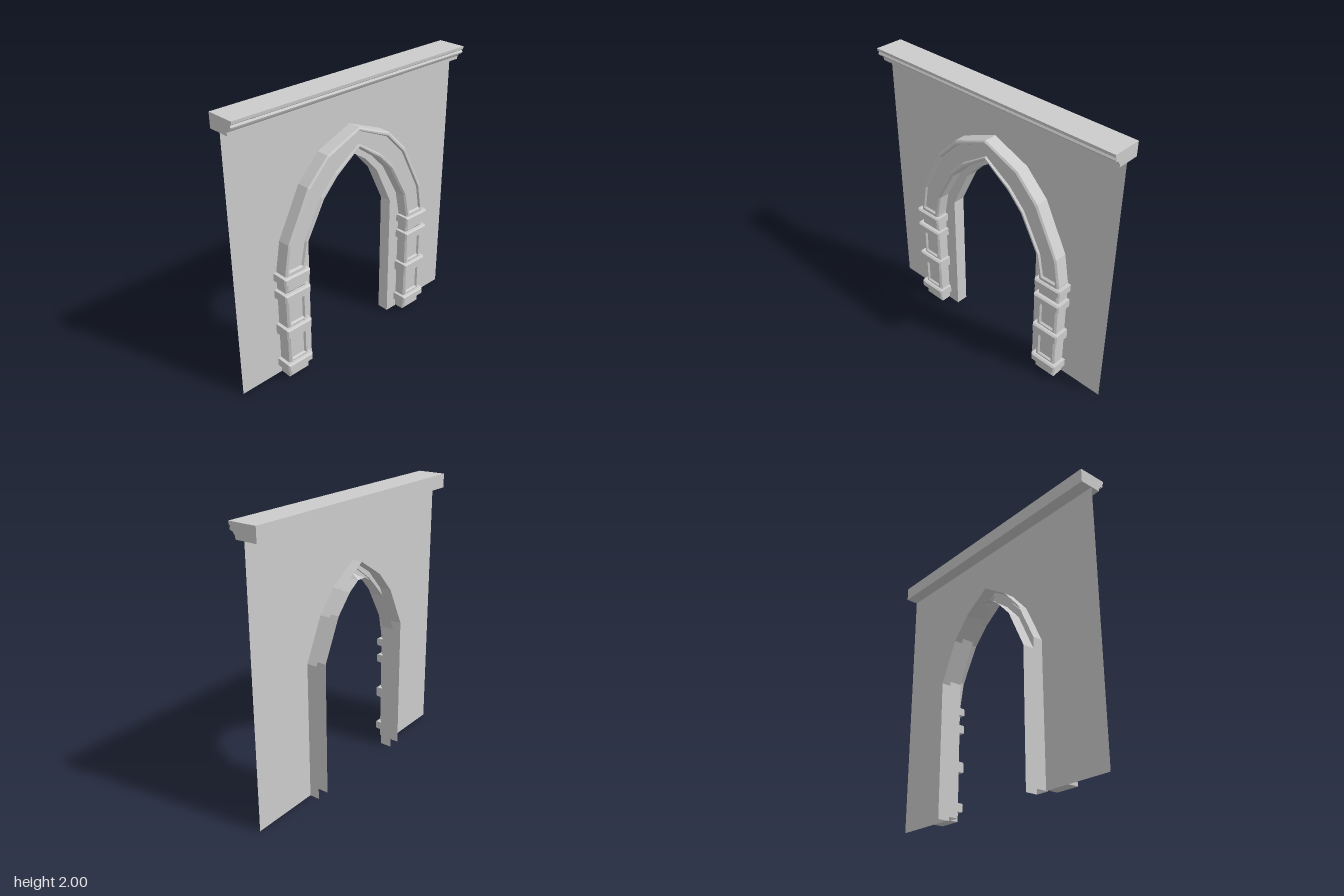
import * as THREE from 'three';

const material = new THREE.MeshStandardMaterial({
  color: 0xcccccc, flatShading: true, side: THREE.DoubleSide,
});

// Mesh from rows of [x, y, z] points, joined by quads
function skin(name, rows) {
  const pos = [];
  for (let i = 0; i + 1 < rows.length; i++) {
    for (let j = 0; j + 1 < rows[i].length; j++) {
      const a = rows[i][j], b = rows[i][j + 1], c = rows[i + 1][j + 1], d = rows[i + 1][j];
      pos.push(...a, ...b, ...c, ...a, ...c, ...d);
    }
  }
  const g = new THREE.BufferGeometry();
  g.setAttribute('position', new THREE.Float32BufferAttribute(pos, 3));
  g.computeVertexNormals();
  return named(name, g);
}

function named(name, geometry) {
  const m = new THREE.Mesh(geometry, material);
  m.name = name;
  return m;
}

// Half outline from right springing to apex -> full outline
const mirror = (half) => [...half, ...half.slice(0, -1).reverse().map(([x, y]) => [-x, y])];

// Block built from rectangles stepping forward; steps are [inset, z]
function block(name, x0, x1, y0, y1, steps) {
  const cx = (x0 + x1) / 2, cy = (y0 + y1) / 2;
  const tip = (z) => Array(5).fill([cx, cy, z]);
  const rings = steps.map(([s, z]) => [
    [x0 + s, y0 + s, z], [x1 - s, y0 + s, z], [x1 - s, y1 - s, z], [x0 + s, y1 - s, z], [x0 + s, y0 + s, z],
  ]);
  return skin(name, [tip(steps[0][1]), ...rings, tip(steps.at(-1)[1])]);
}

function pillar(side) {
  const g = new THREE.Group();
  g.name = side > 0 ? 'leftPillar' : 'rightPillar';
  const span = (a, b) => (side > 0 ? [a, b] : [-b, -a]);
  const body = span(0.487, 0.657), wide = span(0.465, 0.682);
  const plain = [[0, -0.014], [0, 0.073], [0.014, 0.085]];
  const panelled = [...plain, [0.022, 0.085], [0.03, 0.07]];
  // Plain plinth and necks, panelled shafts
  for (const [y0, y1] of [[0.005, 0.07], [0.425, 0.64], [0.13, 0.35], [0.7, 0.775]]) {
    const isShaft = y1 - y0 > 0.2;
    if (!isShaft) g.add(block('neck', ...body, y0 - 0.0, y1 + 0.01, plain));
    else g.add(block('shaft', ...body, y0 - 0.005, y1 + 0.005, plain.slice(0, 2).concat([[0.014, 0.085], [0.024, 0.085], [0.032, 0.07]])));
  }
  // Projecting bands
  for (const [y0, y1] of [[0.07, 0.13], [0.35, 0.425], [0.64, 0.7], [0.775, 0.83]]) {
    g.add(block('band', ...wide, y0, y1, [[0, -0.014], [0, 0.094], [0.009, 0.106]]));
  }
  return g;
}

export function createModel() {
  const model = new THREE.Group();
  model.name = 'archedWall';

  // Outlines of the doorway
  const revealOuter = mirror([[0.485, 0], [0.485, 0.99], [0.345, 1.28], [0.21, 1.43], [0.06, 1.527], [0, 1.565]]);
  const revealInner = mirror([[0.39, 0], [0.39, 0.97], [0.25, 1.26], [0.13, 1.39], [0.04, 1.45], [0, 1.49]]);

  // Thin wall with the doorway cut out of its lower edge
  const wall = new THREE.Shape(
    [[0.99, 0], [0.99, 1.9], [-0.99, 1.9], [-0.99, 0], ...[...revealOuter].reverse()]
      .map(([x, y]) => new THREE.Vector2(x, y)));
  const wallMesh = named('wall', new THREE.ShapeGeometry(wall));
  wallMesh.position.z = -0.016;
  model.add(wallMesh);

  // Channel-shaped door reveal, open at the back
  model.add(skin('reveal', revealOuter.map(([ox, oy], i) => {
    const [ix, iy] = revealInner[i];
    return [[ix, Math.min(iy, 1.45), -0.09], [ix, iy, 0], [ox, oy, 0], [ox, oy, -0.09]];
  })));

  // Pointed arch moulding with a sunken face that stops above the pillars
  const archOuter = mirror([[0.657, 0.825], [0.655, 0.85], [0.653, 0.86], [0.62, 1.05], [0.445, 1.395], [0.276, 1.565], [0, 1.676]]);
  const archInner = mirror([[0.487, 0.825], [0.485, 0.85], [0.483, 0.86], [0.45, 1.02], [0.31, 1.27], [0.195, 1.39], [0, 1.533]]);
  const section = [[0, -0.014], [0, 0.075], [0.07, 0.085], [0.14, 0.085], [0.18, 0.07],
    [0.82, 0.07], [0.86, 0.085], [0.93, 0.085], [1, 0.075], [1, -0.014]];
  const last = archOuter.length - 1;
  model.add(skin('archMoulding', archOuter.map(([ox, oy], i) => {
    const [ix, iy] = archInner[i];
    const raised = Math.min(i, last - i) < 2;
    return section.map(([t, z]) => [
      ix + (ox - ix) * t, iy + (oy - iy) * t, raised && z === 0.07 ? 0.085 : z,
    ]);
  })));

  model.add(pillar(1), pillar(-1));

  // Moulded cornice, profile as (depth, height)
  const profile = new THREE.Shape(
    [[-0.107, 1.9], [0.052, 1.9], [0.052, 1.922], [0.062, 1.93], [0.07, 1.944], [0.09, 1.95],
      [0.094, 1.96], [0.086, 1.972], [0.098, 1.98], [0.1, 2], [-0.107, 2]]
      .map(([z, y]) => new THREE.Vector2(-z, y)));
  const cornice = new THREE.ExtrudeGeometry(profile, { depth: 1.98, bevelEnabled: false });
  cornice.rotateY(Math.PI / 2).translate(-0.99, 0, 0);
  model.add(named('cornice', cornice));

  return model;
}
